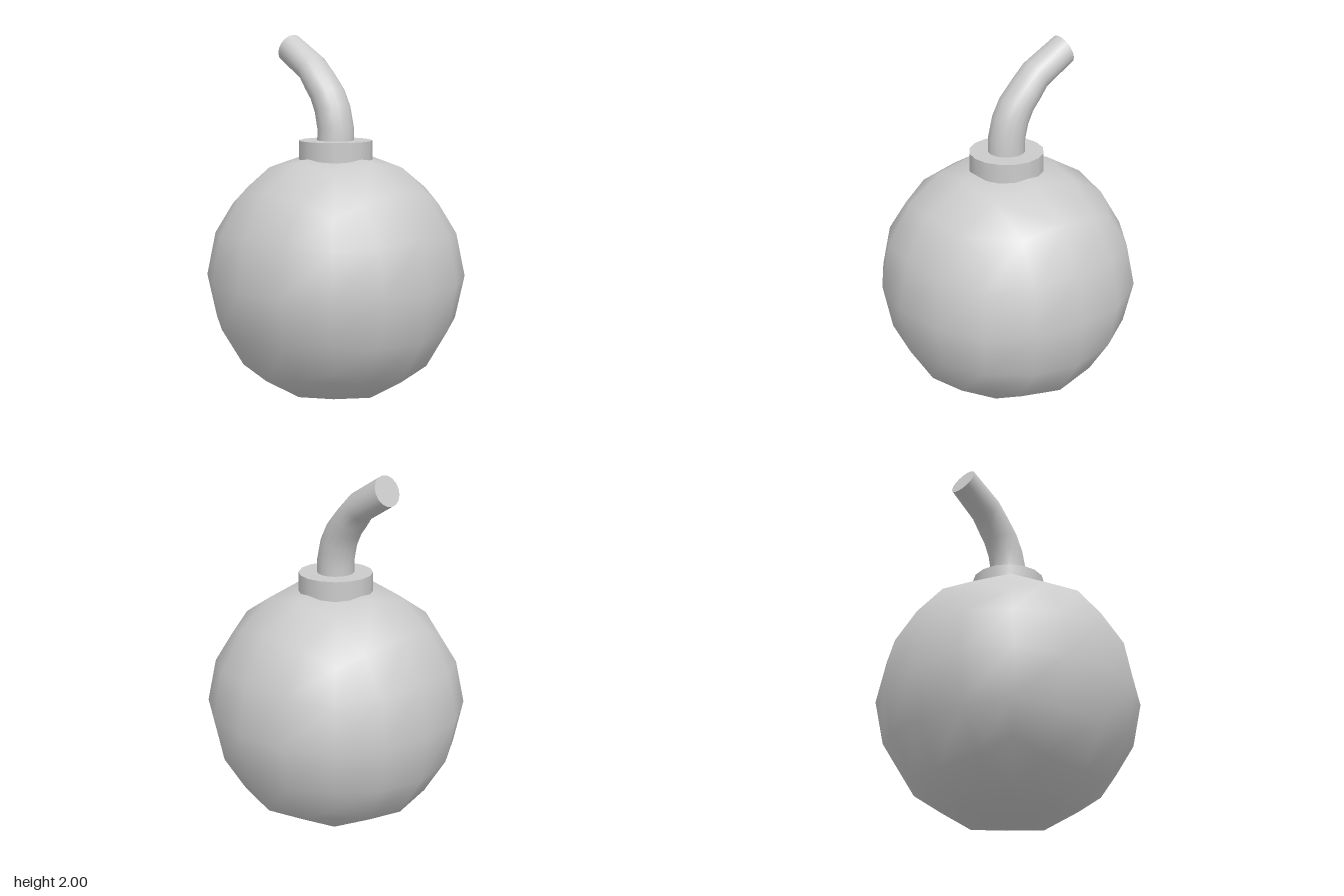
import * as THREE from 'three';
import { mergeVertices } from 'three/addons/utils/BufferGeometryUtils.js';

const material = new THREE.MeshStandardMaterial({ color: 0xcccccc });
const SIDES = 16;

function part(name, geometry, parent) {
  const mesh = new THREE.Mesh(geometry, material);
  mesh.name = name;
  parent.add(mesh);
  return mesh;
}

// Drops seams so that the whole surface shades smoothly
function smooth(geometry) {
  geometry.deleteAttribute('uv');
  geometry.deleteAttribute('normal');
  const merged = mergeVertices(geometry, 1e-4);
  merged.computeVertexNormals();
  return merged;
}

// Ball: a 4x4 gridded cube rounded by two subdivision steps.
// Key: grid steps from the face centre (smaller, larger).
// Value: rounded position (smaller, larger, outward).
const ROUNDED = {
  '0,0': [0, 0, 0.687],
  '0,1': [0, 0.274, 0.641],
  '1,1': [0.255, 0.255, 0.597],
  '0,2': [0, 0.503, 0.503],
  '1,2': [0.236, 0.468, 0.468],
  '2,2': [0.398, 0.398, 0.398],
};

function ballGeometry() {
  const geometry = new THREE.BoxGeometry(4, 4, 4, 4, 4, 4);
  const pos = geometry.attributes.position;
  for (let i = 0; i < pos.count; i++) {
    const p = [pos.getX(i), pos.getY(i), pos.getZ(i)].map(Math.round);
    const order = [0, 1, 2].sort((a, b) => Math.abs(p[a]) - Math.abs(p[b]));
    const key = Math.abs(p[order[0]]) + ',' + Math.abs(p[order[1]]);
    const out = [0, 0, 0];
    order.forEach((axis, k) => { out[axis] = Math.sign(p[axis]) * ROUNDED[key][k]; });
    pos.setXYZ(i, ...out);
  }
  return smooth(geometry);
}

// Fuse rings, base to tip: centre z, centre y, backward tilt, half width, half depth
const RINGS = [
  [0, 1.4, 0, 0.1, 0.1],
  [0, 1.5, 0.08, 0.1, 0.098],
  [-0.024, 1.6, 0.25, 0.099, 0.096],
  [-0.064, 1.679, 0.386, 0.098, 0.092],
  [-0.122, 1.745, 0.69, 0.097, 0.085],
  [-0.186, 1.817, 1.09, 0.095, 0.081],
  [-0.37, 1.925, 1.16, 0.083, 0.082],
];

// Moves every vertex of a unit tube or disc onto the ring its height selects
function bend(geometry) {
  const pos = geometry.attributes.position;
  for (let i = 0; i < pos.count; i++) {
    const [cz, cy, tilt, rx, rd] = RINGS[Math.round(pos.getY(i))];
    const depth = pos.getZ(i) * rd;
    pos.setXYZ(i, pos.getX(i) * rx, cy + depth * Math.sin(tilt), cz + depth * Math.cos(tilt));
  }
  return geometry;
}

export function createModel() {
  const model = new THREE.Group();
  model.name = 'roundBomb';

  part('ball', ballGeometry(), model).position.y = 0.688;

  // Collar sunk into the top of the ball
  part('collar', new THREE.CylinderGeometry(0.2, 0.2, 0.13, SIDES), model).position.y = 1.368;

  // Bent fuse with a flat tip
  const fuse = new THREE.Group();
  fuse.name = 'fuse';
  model.add(fuse);
  const last = RINGS.length - 1;
  const tube = new THREE.CylinderGeometry(1, 1, last, SIDES, last, true);
  part('fuseTube', smooth(bend(tube.translate(0, last / 2, 0))), fuse);
  const tip = new THREE.CircleGeometry(1, SIDES).rotateX(-Math.PI / 2).translate(0, last, 0);
  part('fuseTip', smooth(bend(tip)), fuse);

  return model;
}
